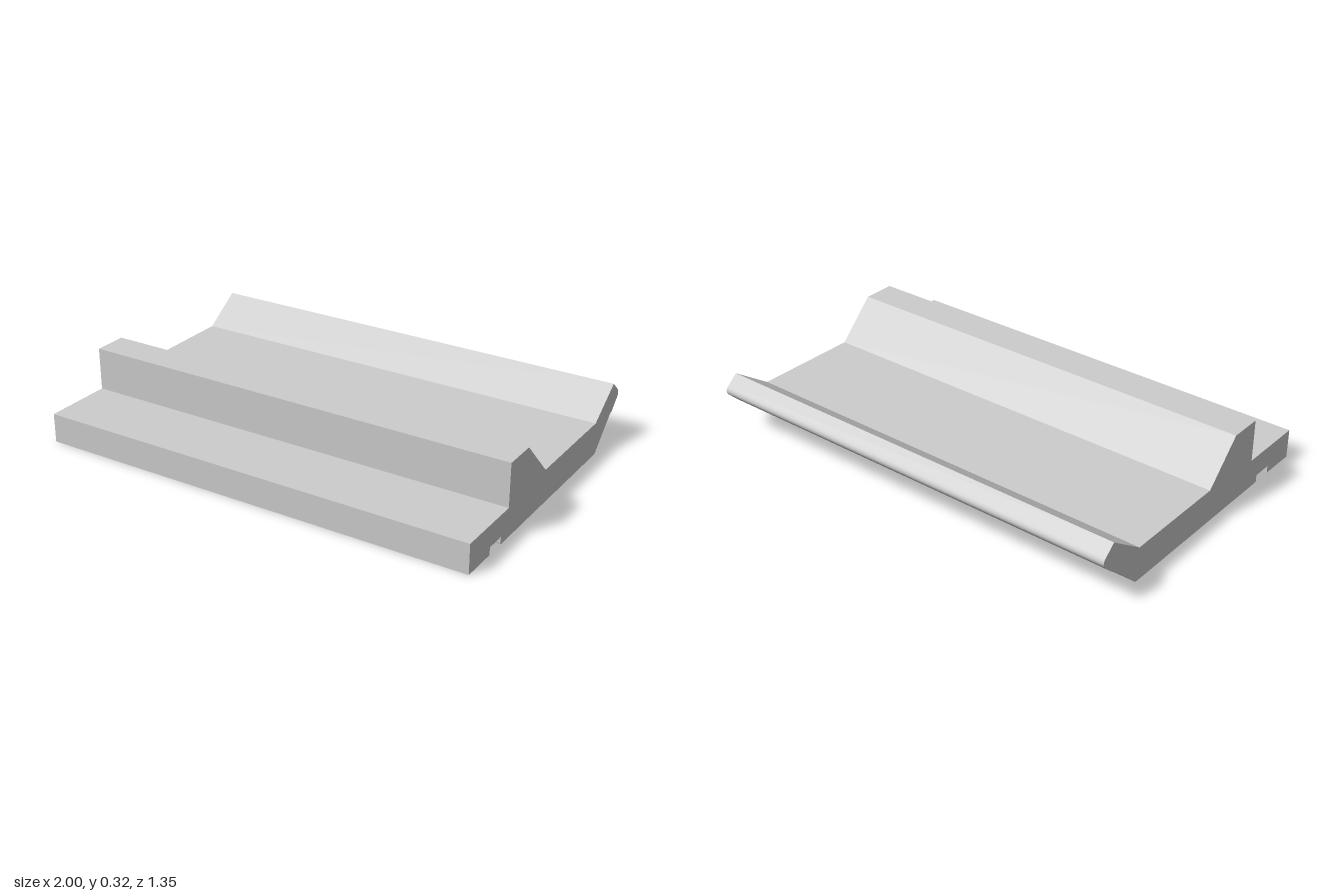
import * as THREE from 'three';

export function createModel() {
  const group = new THREE.Group();
  const grey = new THREE.MeshStandardMaterial({ color: 0xcccccc });
  grey.name = 'light grey';

  // Cross-section: first coordinate runs from front to back, second is height
  const s = new THREE.Shape();
  s.moveTo(-0.676, 0);
  // groove in the underside
  s.lineTo(-0.511, 0);
  s.lineTo(-0.511, 0.033);
  s.lineTo(-0.421, 0.033);
  s.lineTo(-0.421, 0.007);
  s.quadraticCurveTo(-0.421, 0, -0.414, 0);
  // flat base and sloping underside of the back lip
  s.lineTo(0.46, 0);
  s.lineTo(0.6, 0.131);
  s.lineTo(0.617, 0.137);
  // rounded nose of the lip
  s.lineTo(0.66, 0.178);
  s.quadraticCurveTo(0.691, 0.204, 0.66, 0.228);
  s.lineTo(0.615, 0.267);
  // channel floor
  s.lineTo(0.445, 0.15);
  s.lineTo(-0.045, 0.15);
  // raised ridge and front step
  s.lineTo(-0.215, 0.322);
  s.lineTo(-0.365, 0.322);
  s.lineTo(-0.365, 0.131);
  s.lineTo(-0.676, 0.131);
  s.closePath();

  const geometry = new THREE.ExtrudeGeometry(s, { depth: 2, bevelEnabled: false, curveSegments: 12 });
  geometry.translate(0, 0, -1);
  geometry.rotateY(Math.PI / 2);

  const rail = new THREE.Mesh(geometry, grey);
  rail.name = 'profileRail';
  group.add(rail);
  return group;
}
